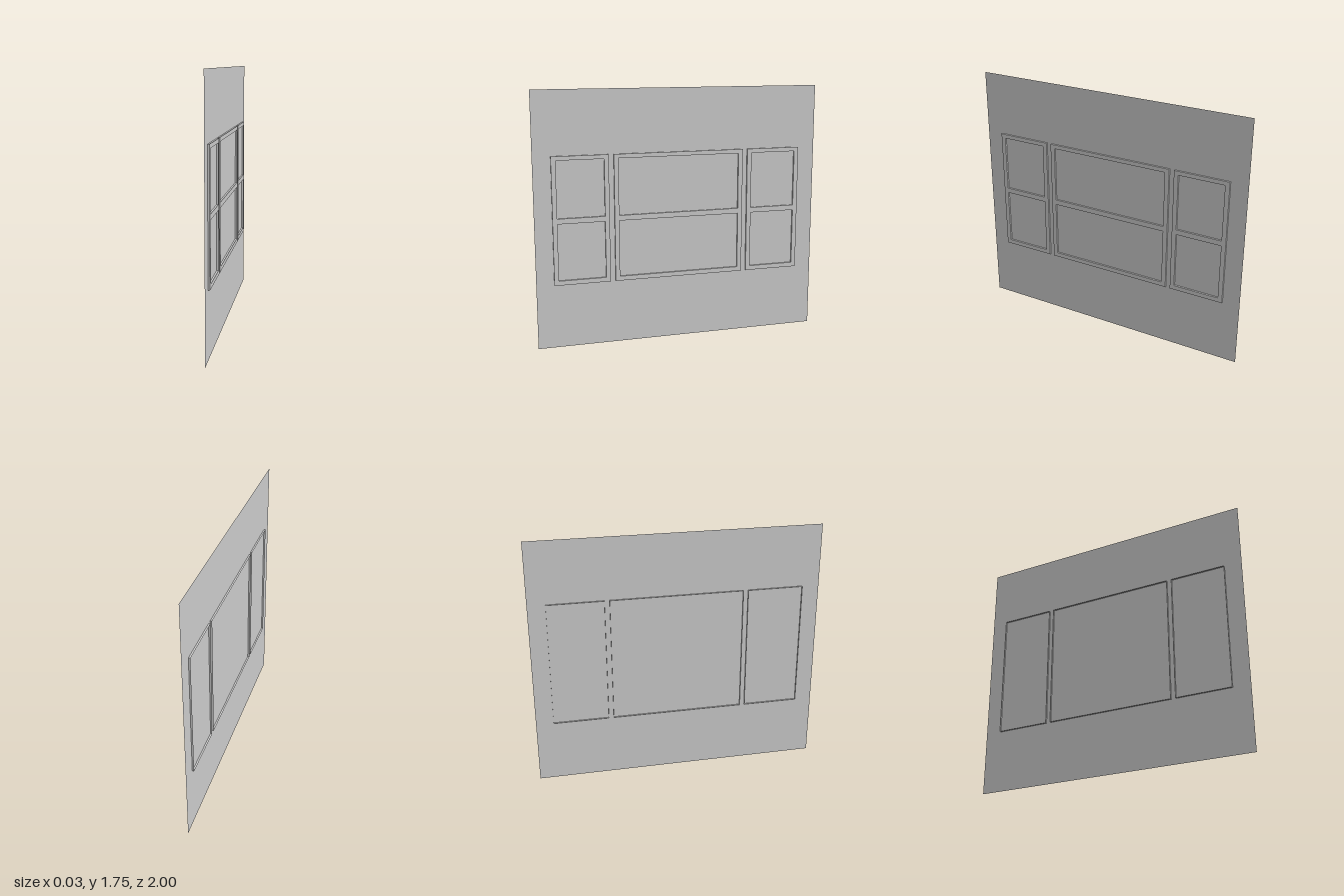
import * as THREE from 'three';

const HALF_DEPTH = 0.0125;
const BOTTOM = 0.44, TOP = 1.316;
const PANES = [[0.471, 0.862], [0.898, 1.288]];
const BORDER = 0.031;

const material = new THREE.MeshStandardMaterial({ color: 0xcccccc, side: THREE.DoubleSide });

function rectangle(path, x0, y0, x1, y1) {
  path.moveTo(x0, y0);
  path.lineTo(x1, y0);
  path.lineTo(x1, y1);
  path.lineTo(x0, y1);
  path.closePath();
  return path;
}

// Front casing with two pane openings, plus an open rim behind the wall
function windowUnit(name, centreZ, width) {
  const unit = new THREE.Group();
  unit.name = name;
  const w = width / 2;

  const shape = rectangle(new THREE.Shape(), -w, BOTTOM, w, TOP);
  for (const [y0, y1] of PANES) {
    shape.holes.push(rectangle(new THREE.Path(), -w + BORDER, y0, w - BORDER, y1));
  }
  const casing = new THREE.ExtrudeGeometry(shape, { depth: HALF_DEPTH, bevelEnabled: false });
  casing.rotateY(Math.PI / 2);
  const frame = new THREE.Mesh(casing, material);
  frame.name = 'windowFrame';

  const tube = new THREE.CylinderGeometry(Math.SQRT1_2, Math.SQRT1_2, 1, 4, 1, true)
    .rotateY(Math.PI / 4)
    .rotateZ(Math.PI / 2)
    .scale(HALF_DEPTH, TOP - BOTTOM, width)
    .translate(-HALF_DEPTH / 2, (TOP + BOTTOM) / 2, 0)
    .toNonIndexed();
  tube.computeVertexNormals();
  const rim = new THREE.Mesh(tube, material);
  rim.name = 'backRim';

  unit.add(frame, rim);
  unit.position.z = centreZ;
  return unit;
}

export function createModel() {
  const model = new THREE.Group();
  model.name = 'windowWall';

  // Thin wall sheet facing sideways
  const wall = new THREE.Mesh(
    new THREE.PlaneGeometry(2, 1.75).rotateY(Math.PI / 2).translate(0, 0.875, 0), material);
  wall.name = 'wall';
  model.add(wall);

  // Wide window between two narrow ones
  model.add(windowUnit('centreWindow', 0, 0.916));
  for (const side of [-1, 1]) {
    model.add(windowUnit(side > 0 ? 'frontWindow' : 'backWindow', side * 0.686, 0.386));
  }
  return model;
}
